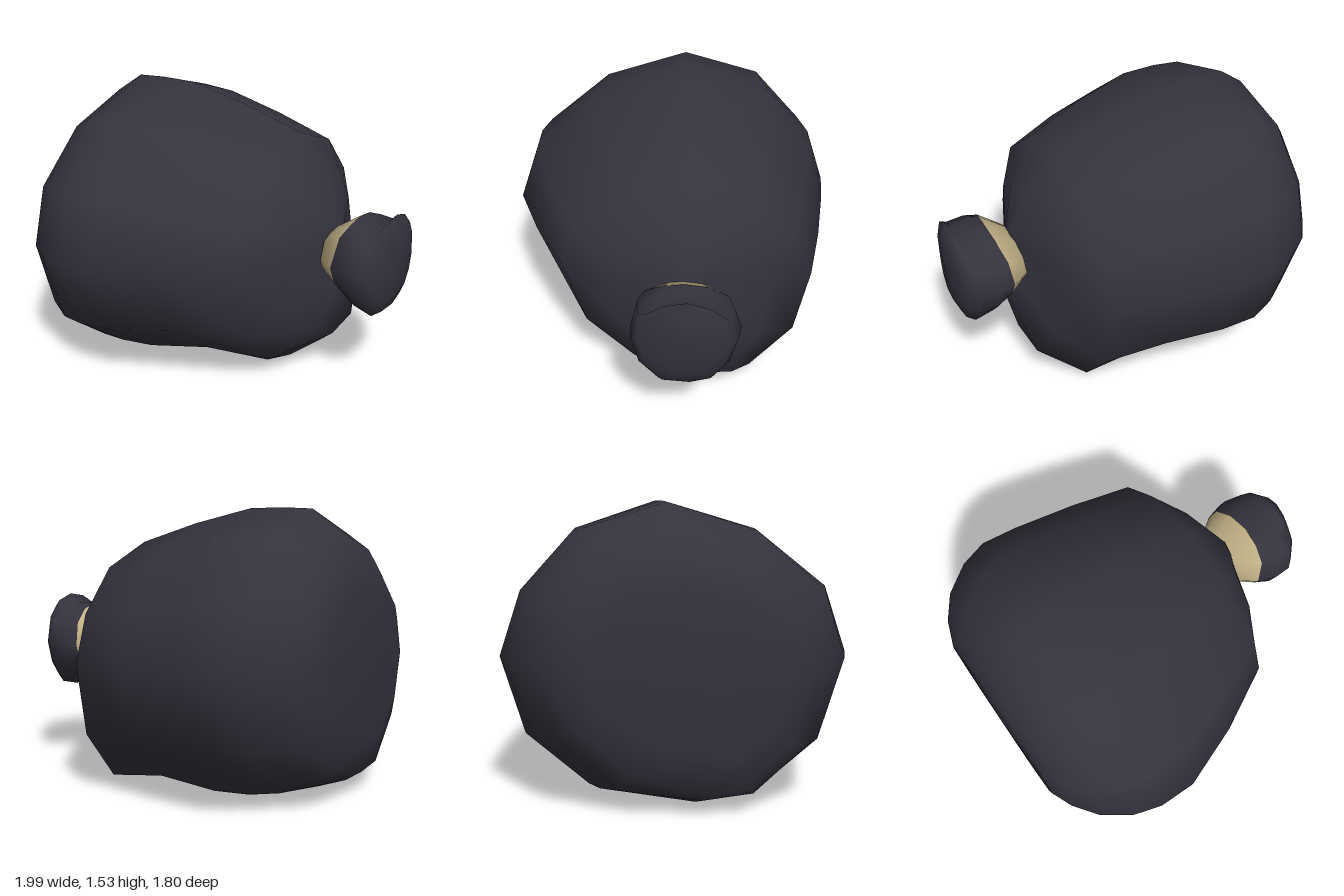
import * as THREE from 'three';

const fabric = new THREE.MeshStandardMaterial({ color: 0x34333e });
fabric.name = 'dark fabric';
const cord = new THREE.MeshStandardMaterial({ color: 0xc4b388 });
cord.name = 'tan cord';

// Unit outlines as [z, y], running from +z up over the top
const baseShape = [[1, -0.1], [0.86, 0.4], [0.43, 0.81], [-0.12, 1], [-0.59, 0.88], [-0.89, 0.49],
  [-1, 0.05], [-0.83, -0.47], [-0.46, -0.82], [0.1, -1], [0.45, -1], [0.85, -0.66]];
const shoulderShape = [[1, 0.06], [0.88, 0.45], [0.45, 0.82], [-0.08, 1], [-0.56, 0.75], [-0.87, 0.33],
  [-1, -0.1], [-0.91, -0.62], [-0.58, -1], [0, -1], [0.42, -0.83], [0.82, -0.46]];
const knotShape = [[1, 0], [0.87, 0.72], [0.5, 0.92], [0.05, 1], [-0.45, 0.88], [-0.85, 0.55],
  [-1, 0], [-0.84, -0.5], [-0.52, -0.88], [0, -1], [0.54, -0.95], [0.87, -0.55]];

// Skin a row of rings along x, blending from one outline to another.
// Each ring is [x, top, bottom, front, back, top lean, bottom lean].
function loft(name, material, [shapeA, shapeB], rings, [cy, cz], shear, [startCap, endCap]) {
  const n = shapeA.length;
  const pos = [];
  const index = [];
  rings.forEach(([x, top, bottom, front, back, leanTop = 0, leanBottom = 0], i) => {
    const t = i / (rings.length - 1);
    for (let j = 0; j < n; j++) {
      const u = THREE.MathUtils.lerp(shapeA[j][0], shapeB[j][0], t);
      const v = THREE.MathUtils.lerp(shapeA[j][1], shapeB[j][1], t);
      const y = cy + v * (v > 0 ? top - cy : cy - bottom);
      const z = cz + u * (u > 0 ? front - cz : cz - back);
      pos.push(x + shear * z + v * v * (v > 0 ? leanTop : leanBottom), y, z);
    }
  });
  for (let i = 0; i < rings.length - 1; i++) {
    for (let j = 0; j < n; j++) {
      const a = i * n + j, b = i * n + (j + 1) % n;
      index.push(a, a + n, b, b, a + n, b + n);
    }
  }
  // Close the ends with fans around a centre point
  const last = (rings.length - 1) * n;
  [startCap, endCap].forEach((point, end) => {
    if (!point) return;
    const c = pos.length / 3;
    pos.push(...point);
    for (let j = 0; j < n; j++) {
      const k = (j + 1) % n;
      if (end === 0) index.push(c, j, k);
      else index.push(c, last + k, last + j);
    }
  });
  const geometry = new THREE.BufferGeometry();
  geometry.setAttribute('position', new THREE.Float32BufferAttribute(pos, 3));
  geometry.setIndex(index);
  geometry.computeVertexNormals();
  const mesh = new THREE.Mesh(geometry, material);
  mesh.name = name;
  return mesh;
}

export function createModel() {
  const group = new THREE.Group();
  group.name = 'tiedSack';

  // Bulging sack lying on its side
  group.add(loft('sackBody', fabric, [baseShape, shoulderShape], [
    [-0.96, 1.13, 0.32, 0.45, -0.53],
    [-0.91, 1.28, 0.12, 0.57, -0.66],
    [-0.82, 1.42, 0.06, 0.7, -0.77],
    [-0.67, 1.525, 0.005, 0.82, -0.86],
    [-0.52, 1.53, 0, 0.88, -0.905],
    [-0.32, 1.525, 0.005, 0.9, -0.87],
    [0.02, 1.44, 0.05, 0.8, -0.79],
    [0.36, 1.33, 0.01, 0.65, -0.69],
    [0.49, 1.1, 0.21, 0.42, -0.44, 0.05, 0.12],
    [0.6, 0.9, 0.57, 0.13, -0.13, 0.03, 0.1],
  ], [0.77, 0], -0.075, [[-0.965, 0.75, 0], [0.62, 0.75, 0]]));

  // Cord wrapped round the neck, sharing its outer ring with the mouth
  const seam = [0.7, 0.96, 0.56, 0.25, -0.24, 0.055, 0.035];
  const knotShapes = [knotShape, knotShape];
  const knotCentre = [0.73, 0.01];
  group.add(loft('neckCord', cord, knotShapes, [
    [0.605, 0.87, 0.64, 0.17, -0.18, 0.015],
    seam,
  ], knotCentre, -0.1, [[0.605, 0.75, 0], null]));

  // Gathered mouth of the sack beyond the cord
  group.add(loft('gatheredMouth', fabric, knotShapes, [
    seam,
    [0.8, 0.955, 0.49, 0.295, -0.26],
    [0.9, 0.945, 0.45, 0.3, -0.23],
    [0.945, 1, 0.48, 0.265, -0.19],
    [0.98, 0.97, 0.57, 0.17, -0.12, 0.01],
  ], knotCentre, -0.1, [null, [1, 0.77, 0.02]]));

  return group;
}
